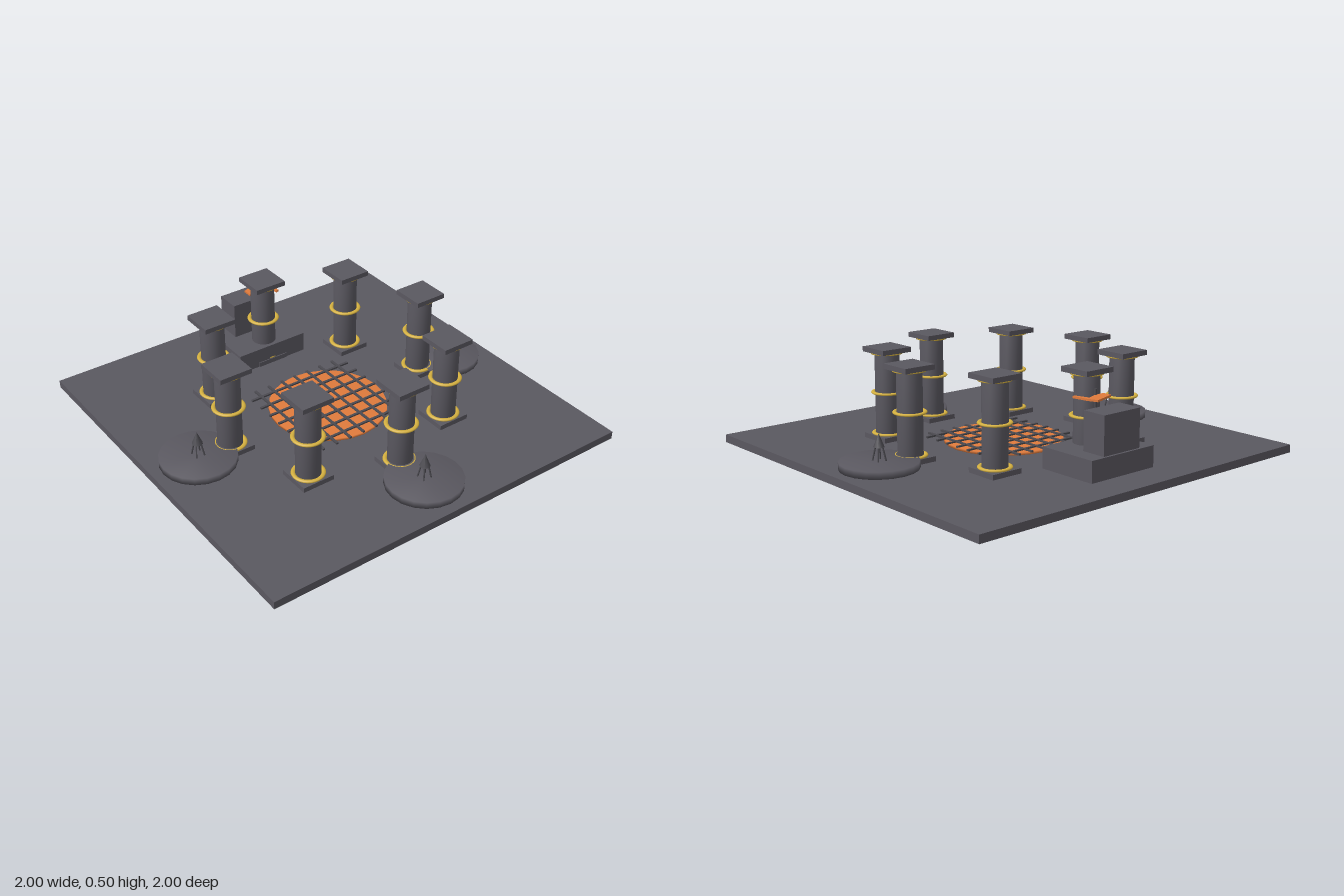
import * as THREE from 'three';
import { mergeVertices } from 'three/addons/utils/BufferGeometryUtils.js';

export function createModel() {
  const model = new THREE.Group();
  model.name = 'templeCourt';

  const material = (name, color) => {
    const m = new THREE.MeshStandardMaterial({ color });
    m.name = name;
    return m;
  };
  const stone = material('stone', 0x5a5860);
  const iron = material('darkIron', 0x4c4b51);
  const gold = material('gold', 0xd4b040);
  const ember = material('ember', 0xe07b3c);

  const add = (parent, name, geometry, mat, x = 0, y = 0, z = 0) => {
    const mesh = new THREE.Mesh(geometry, mat);
    mesh.name = name;
    mesh.position.set(x, y, z);
    parent.add(mesh);
    return mesh;
  };
  const group = (name, x, z) => {
    const g = new THREE.Group();
    g.name = name;
    g.position.set(x, 0, z);
    model.add(g);
    return g;
  };
  const box = (w, h, d) => new THREE.BoxGeometry(w, h, d);

  // Cylinder with normals shared between the sides and the caps
  const softCylinder = (top, bottom, height, sides) => {
    const g = new THREE.CylinderGeometry(top, bottom, height, sides);
    g.deleteAttribute('normal');
    g.deleteAttribute('uv');
    const merged = mergeVertices(g);
    merged.computeVertexNormals();
    return merged;
  };

  // Floor slab
  add(model, 'floor', box(2, 0.04, 2), stone, 0, 0.02, 0);

  // Ring of eight columns
  const slab = box(0.17, 0.025, 0.17);
  const shaft = softCylinder(0.062, 0.062, 0.425, 24);
  const ring = new THREE.TorusGeometry(0.072, 0.011, 8, 28);
  ring.rotateX(Math.PI / 2);
  ring.scale(1, 0.6, 1);
  for (let i = 0; i < 8; i++) {
    const a = (i * Math.PI) / 4;
    const column = group('column', 0.58 * Math.cos(a), 0.58 * Math.sin(a));
    add(column, 'plinth', slab, stone, 0, 0.0525, 0);
    add(column, 'shaft', shaft, stone, 0, 0.2775, 0);
    add(column, 'capital', slab, stone, 0, 0.4925, 0);
    for (const y of [0.069, 0.277, 0.477]) add(column, 'goldRing', ring, gold, 0, y, 0);
  }

  // Ember pit under a square grate
  add(model, 'emberPit', softCylinder(0.3, 0.3, 0.014, 24), ember, 0, 0.046, 0);
  const bar = box(0.013, 0.009, 0.6);
  for (let i = -3; i <= 3; i++) {
    add(model, 'grateBar', bar, iron, i * 0.08, 0.0555, 0);
    add(model, 'grateCrossBar', bar, iron, 0, 0.0555, i * 0.08).rotation.y = Math.PI / 2;
  }

  // Three round daises, each with a spire on thin legs
  const disc = softCylinder(0.19, 0.19, 0.035, 20);
  const spire = new THREE.ConeGeometry(0.027, 0.065, 8);
  const legs = [0, 1, 2, 3].map((i) => {
    const a = (i * Math.PI) / 2 + Math.PI / 4;
    const point = (r, y) => new THREE.Vector3(r * Math.cos(a), y, r * Math.sin(a));
    const path = new THREE.LineCurve3(point(0.032, 0.073), point(0.016, 0.145));
    return new THREE.TubeGeometry(path, 1, 0.004, 6);
  });
  for (const [x, z] of [[-0.76, 0], [0.76, 0], [0, 0.76]]) {
    const dais = group('dais', x, z);
    add(dais, 'daisDisc', disc, stone, 0, 0.0575, 0);
    add(dais, 'spire', spire, iron, 0, 0.1725, 0);
    legs.forEach((leg) => add(dais, 'spireLeg', leg, iron));
  }

  // Altar seat at the back
  const throne = group('throne', 0, 0);
  add(throne, 'throneBase', box(0.4, 0.105, 0.32), stone, 0, 0.0925, -0.66);
  add(throne, 'throneBlock', box(0.23, 0.19, 0.13), stone, 0, 0.24, -0.743);

  // Staff with a flat, hooked blade
  add(throne, 'staff', new THREE.CylinderGeometry(0.007, 0.007, 0.27, 8), iron, 0.02, 0.28, -0.656);
  const hook = new THREE.Shape([
    [-0.03, 0.705], [-0.03, 0.655], [0.03, 0.66], [0.083, 0.68],
    [0.105, 0.605], [0.12, 0.61], [0.108, 0.69], [0.09, 0.742],
  ].map(([x, y]) => new THREE.Vector2(x, y)));
  const blade = new THREE.ExtrudeGeometry(hook, { depth: 0.01, bevelEnabled: false });
  blade.rotateX(-Math.PI / 2);
  add(throne, 'blade', blade, ember, 0, 0.379, 0);

  return model;
}
